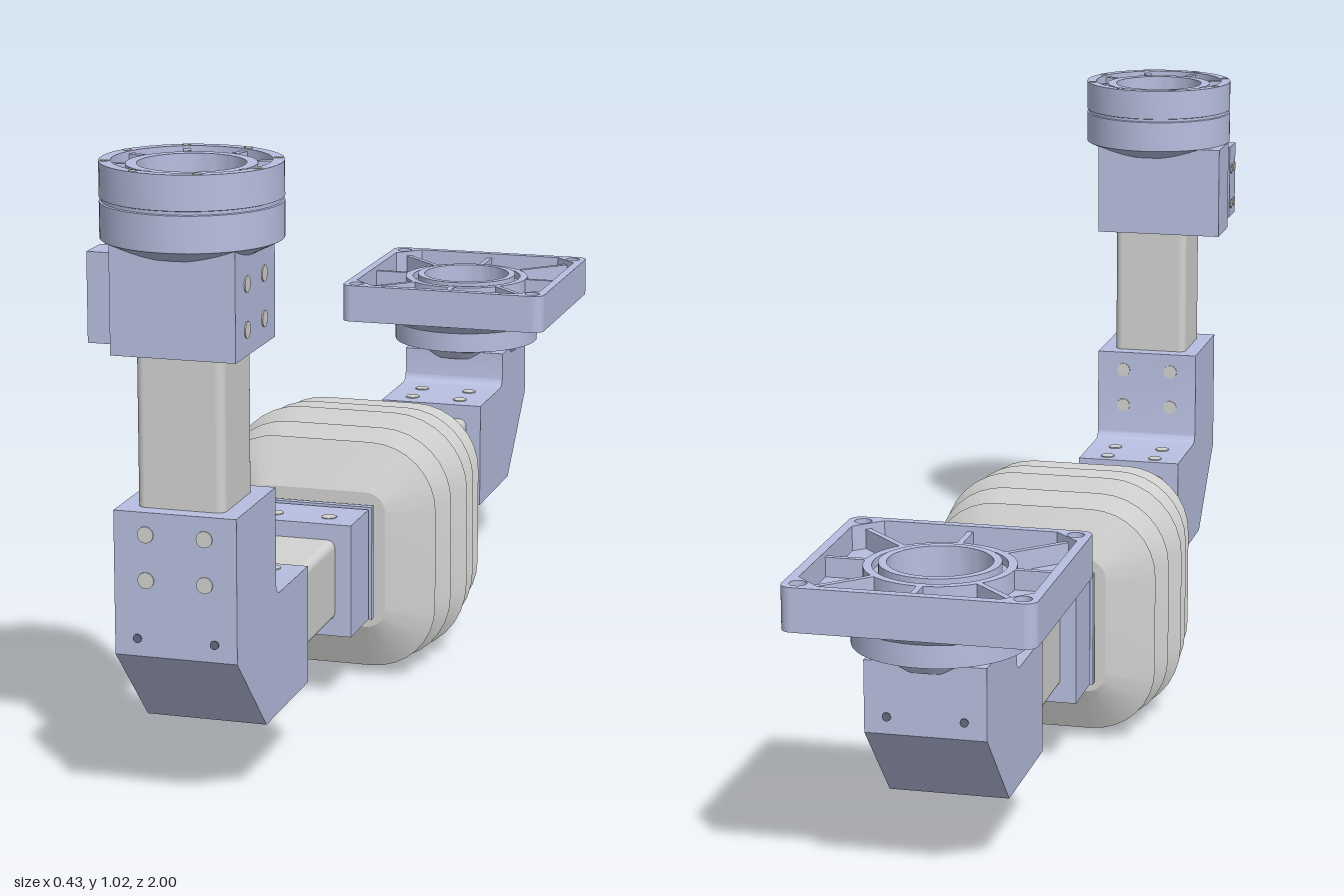
import * as THREE from 'three';
import { toCreasedNormals } from 'three/addons/utils/BufferGeometryUtils.js';

const paint = (name, color) => Object.assign(new THREE.MeshStandardMaterial({ color }), { name });

// Rounded rectangle outline centred on the origin
function roundedRect(w, h, r, Type = THREE.Shape) {
  const s = new Type(), x = w / 2 - r, y = h / 2 - r;
  s.absarc(x, y, r, 0, Math.PI / 2);
  s.absarc(-x, y, r, Math.PI / 2, Math.PI);
  s.absarc(-x, -y, r, Math.PI, Math.PI * 1.5);
  s.absarc(x, -y, r, Math.PI * 1.5, Math.PI * 2);
  s.closePath();
  return s;
}

const extrude = (shape, depth) =>
  new THREE.ExtrudeGeometry(shape, { depth, bevelEnabled: false, curveSegments: 12 });

const circleHole = (x, y, r) => new THREE.Path().absarc(x, y, r, 0, Math.PI * 2, true);

const lathe = (pts) => toCreasedNormals(
  new THREE.LatheGeometry(pts.map(([x, y]) => new THREE.Vector2(x, y)), 64), 0.5);

export function createModel() {
  const model = new THREE.Group();
  model.name = 'jointedArm';
  const blue = paint('castBlue', 0xb8bfe0);
  const grey = paint('tubeGrey', 0xd2d2d0);
  const dark = paint('screwRecess', 0x646a80);
  const cy = 0.218; // height of the horizontal axis
  const ringZ = 0.86, flangeZ = -0.797;

  function add(name, geo, mat, x = 0, y = 0, z = 0) {
    const m = new THREE.Mesh(geo, mat);
    m.name = name;
    m.position.set(x, y, z);
    model.add(m);
    return m;
  }
  const box = (name, w, h, d, x, y, z, mat = blue) =>
    add(name, new THREE.BoxGeometry(w, h, d), mat, x, y, z);

  // Flat screw spot facing along a unit normal
  function spot(x, y, z, n, r = 0.013, mat = grey) {
    const m = add('screwHole', new THREE.CylinderGeometry(r, r, 0.004, 20), mat, x, y, z);
    m.quaternion.setFromUnitVectors(new THREE.Vector3(0, 1, 0), new THREE.Vector3(...n));
  }

  // Square tubes
  const tubeShape = roundedRect(0.14, 0.14, 0.014);
  add('upright', extrude(tubeShape, 0.28).rotateX(-Math.PI / 2), grey, 0, 0.47, ringZ);
  add('frontTube', extrude(tubeShape, 0.28), grey, 0, cy, 0.33);
  add('rearTube', extrude(tubeShape, 0.28), grey, 0, cy, -0.55);

  // Elbow brackets, side profile in (z, y) with a rounded inner corner
  function elbow(name, zIn, zOut, zStem, zLow, top, dir) {
    const s = new THREE.Shape();
    s.moveTo(zIn, 0.12);
    s.lineTo(zLow, 0.12);
    s.lineTo(zOut, 0.262);
    s.lineTo(zOut, top);
    s.lineTo(zStem, top);
    s.lineTo(zStem, 0.337);
    s.quadraticCurveTo(zStem, 0.315, zStem - 0.022 * dir, 0.315);
    s.lineTo(zIn, 0.315);
    s.closePath();
    add(name, toCreasedNormals(extrude(s, 0.196).rotateY(-Math.PI / 2), 0.5), blue, 0.098);
  }
  elbow('frontElbow', 0.593, 0.957, 0.762, 0.815, 0.49, 1);
  elbow('rearElbow', -0.53, -0.892, -0.703, -0.755, 0.38, -1);

  // Collars on both sides of the bellows
  for (const [zc, dir] of [[0.295, 1], [-0.232, -1]]) {
    box('collar', 0.196, 0.195, 0.106, 0, cy, zc);
    box('collarNeck', 0.18, 0.18, 0.04, 0, cy, zc - 0.07 * dir, grey);
    box('collarPlate', 0.204, 0.2, 0.012, 0, cy, zc - 0.066 * dir);
  }

  // Bellows: rounded-square rings that swell and shrink along z
  const rings = [[0.215, 0.085], [0.215, 0.12], [0.18, 0.2], [0.145, 0.157], [0.11, 0.209],
    [0.07, 0.16], [0.031, 0.217], [-0.007, 0.16], [-0.043, 0.209], [-0.08, 0.157],
    [-0.115, 0.2], [-0.152, 0.12], [-0.152, 0.085]].reverse();
  const pos = [], idx = [], per = 36;
  rings.forEach(([z, half], i) => {
    const flat = Math.min(0.085, half - 0.005), r = half - flat;
    for (let q = 0; q < 4; q++) {
      const sx = q === 0 || q === 3 ? 1 : -1, sy = q < 2 ? 1 : -1;
      for (let k = 0; k < 9; k++) {
        const a = (q + k / 8) * Math.PI / 2;
        pos.push(sx * flat + r * Math.cos(a), sy * flat + r * Math.sin(a), z);
      }
    }
    if (!i) return;
    for (let j = 0; j < per; j++) {
      const a = (i - 1) * per + j, b = (i - 1) * per + (j + 1) % per;
      idx.push(a, b, b + per, a, b + per, a + per);
    }
  });
  const bellows = new THREE.BufferGeometry();
  bellows.setAttribute('position', new THREE.Float32BufferAttribute(pos, 3));
  bellows.setIndex(idx);
  bellows.computeVertexNormals();
  add('bellows', toCreasedNormals(bellows, 0.4), grey, 0, cy, 0);

  // Bracket under the round head, with a rib and pad on one side
  box('headBracket', 0.198, 0.17, 0.194, 0, 0.815, ringZ);
  const rib = new THREE.Shape();
  rib.moveTo(-0.09, 0.097);
  rib.lineTo(-0.14, 0.097);
  rib.lineTo(-0.14, 0);
  rib.quadraticCurveTo(-0.14, -0.02, -0.09, -0.02);
  rib.closePath();
  add('bracketRib', extrude(rib, 0.17).rotateX(-Math.PI / 2), blue, 0, 0.73, ringZ);
  box('bracketPad', 0.04, 0.14, 0.06, -0.118, 0.815, 0.917);

  // Round head: open ring with a groove and a recessed top
  add('headRing', lathe([[0.1, 0.88], [0.14, 0.9], [0.14, 0.956], [0.137, 0.957], [0.137, 0.962],
    [0.14, 0.963], [0.14, 1.017], [0.122, 1.017], [0.122, 1.0], [0.1, 1.0], [0.1, 1.012],
    [0.083, 1.012], [0.083, 0.89]]), blue, 0, 0, ringZ);
  add('boreFloor', new THREE.CylinderGeometry(0.084, 0.084, 0.006, 40), grey, 0, 0.902, ringZ);
  box('boreSocket', 0.11, 0.006, 0.11, 0, 0.905, ringZ);
  for (let i = 0; i < 8; i++) {
    const a = (i + 0.5) * Math.PI / 4;
    spot(0.131 * Math.cos(a), 1.016, ringZ + 0.131 * Math.sin(a), [0, 1, 0], 0.007, grey);
    box('headLug', 0.024, 0.014, 0.012, 0.111 * Math.cos(a), 1.006, ringZ + 0.111 * Math.sin(a))
      .rotation.y = -a;
  }

  // Square flange: floor plate and rim, both with corner through-holes
  const up = -Math.PI / 2;
  const cornerHoles = [];
  for (const x of [-1, 1]) for (const y of [-1, 1]) cornerHoles.push(circleHole(0.175 * x, 0.175 * y, 0.014));
  const floor = roundedRect(0.4, 0.4, 0.02);
  floor.holes.push(circleHole(0, 0, 0.085), ...cornerHoles);
  add('flangeFloor', extrude(floor, 0.03).rotateX(up), blue, 0, 0.45, flangeZ);
  const rim = roundedRect(0.4, 0.4, 0.02);
  const a = 0.184, b = 0.142;
  rim.holes.push(new THREE.Path([[a, b], [b, a], [-b, a], [-a, b], [-a, -b], [-b, -a], [b, -a], [a, -b]]
    .map(([x, y]) => new THREE.Vector2(x, y))), ...cornerHoles);
  add('flangeRim', extrude(rim, 0.042).rotateX(up), blue, 0, 0.479, flangeZ);

  // Flange neck, hub and ribs
  add('flangeNeck', lathe([[0.083, 0.365], [0.098, 0.365], [0.108, 0.38], [0.14, 0.388], [0.14, 0.425],
    [0.146, 0.43], [0.199, 0.451], [0.083, 0.451], [0.083, 0.365]]), blue, 0, 0, flangeZ);
  add('flangeHub', lathe([[0.12, 0.475], [0.12, 0.512], [0.106, 0.512], [0.106, 0.498], [0.096, 0.498],
    [0.096, 0.517], [0.083, 0.517], [0.083, 0.445]]), blue, 0, 0, flangeZ);
  add('flangeBoreFloor', new THREE.CylinderGeometry(0.084, 0.084, 0.006, 40, 1, false, Math.PI / 2, Math.PI),
    dark, 0, 0.38, flangeZ);
  for (let i = 0; i < 8; i++) {
    const t = i * Math.PI / 4, len = i % 2 ? 0.118 : 0.075, mid = 0.115 + len / 2;
    box('flangeRib', len, 0.036, 0.01, mid * Math.cos(t), 0.494, flangeZ - mid * Math.sin(t)).rotation.y = t;
  }

  // Screw holes, mirrored across the arm
  for (const s of [-1, 1]) {
    const x = 0.047 * s;
    for (const y of [0.455, 0.383]) {
      spot(x, y, 0.957, [0, 0, 1]);
      spot(x, y, 0.762, [0, 0, -1]);
    }
    for (const z of [0.62, 0.69, -0.57, -0.64]) {
      spot(x, 0.315, z, [0, 1, 0]);
      spot(x, 0.12, z, [0, -1, 0]);
    }
    for (const z of [0.305, -0.26]) {
      spot(x, 0.315, z, [0, 1, 0]);
      spot(x, 0.121, z, [0, -1, 0]);
    }
    for (const y of [0.84, 0.77]) {
      spot(0.099, y, ringZ + 0.042 * s, [1, 0, 0]);
      spot(-0.138, y, 0.917 + 0.015 * s, [-1, 0, 0], 0.009);
    }
    spot(0.062 * s, 0.29, 0.957, [0, 0, 1], 0.007, dark);
    spot(0.062 * s, 0.29, -0.892, [0, 0, -1], 0.007, dark);
  }
  return model;
}
